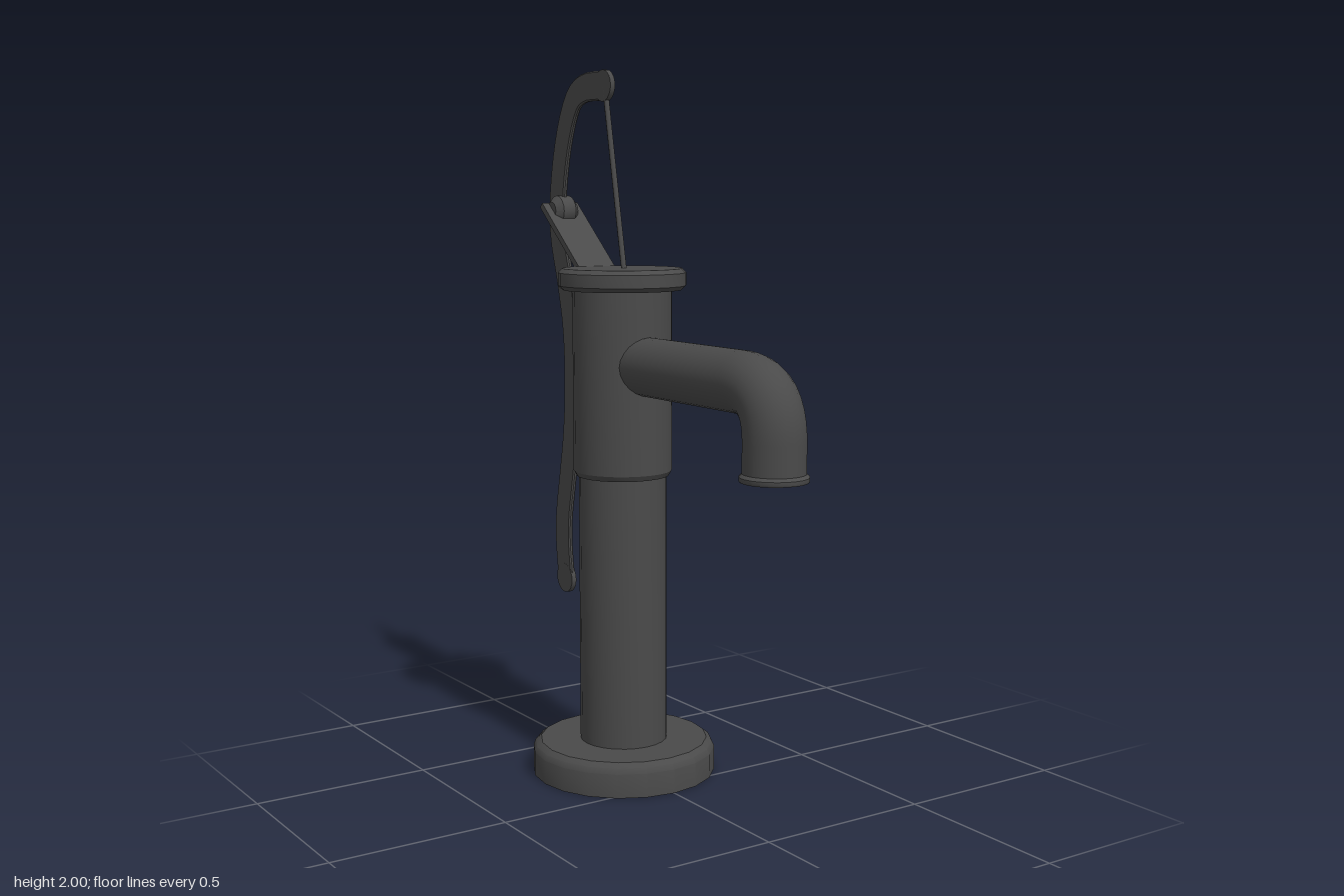
import * as THREE from 'three';
import { toCreasedNormals } from 'three/addons/utils/BufferGeometryUtils.js';

const iron = new THREE.MeshStandardMaterial({ color: 0x4a4a4a });
const V = (y, z) => new THREE.Vector3(0, y, z);

export function createModel() {
  const pump = new THREE.Group();
  pump.name = 'handPump';
  const add = (name, geometry, x = 0, y = 0, z = 0) => {
    const mesh = new THREE.Mesh(geometry, iron);
    mesh.name = name;
    mesh.position.set(x, y, z);
    pump.add(mesh);
    return mesh;
  };
  // turned part from [radius, height] pairs, bottom axis outward and up
  const turned = (profile, sides) => toCreasedNormals(
    new THREE.LatheGeometry(profile.map(p => new THREE.Vector2(...p)), sides), 0.5);
  // round bar between two points
  const bar = (name, a, b, r, sides) => {
    const mesh = add(name, new THREE.CylinderGeometry(r, r, a.distanceTo(b), sides));
    mesh.position.copy(a).lerp(b, 0.5);
    mesh.quaternion.setFromUnitVectors(new THREE.Vector3(0, 1, 0), b.clone().sub(a).normalize());
  };

  // standing column
  const cz = -0.2;
  add('base', turned([[0, 0], [0.263, 0], [0.263, 0.068], [0.256, 0.083], [0.24, 0.095], [0, 0.095]], 20), 0, 0, cz);
  add('lowerPipe', turned([[0, 0.09], [0.125, 0.09], [0.125, 0.88], [0, 0.88]], 24), 0, 0, cz);
  add('upperBarrel', turned([[0, 0.865], [0.131, 0.865], [0.14, 0.88], [0.14, 1.4], [0, 1.4]], 24), 0, 0, cz);
  add('cap', turned([[0, 1.39], [0.168, 1.39], [0.18, 1.402], [0.18, 1.438], [0.168, 1.45], [0, 1.45]], 24), 0, 0, cz);

  // spout: straight run, bend, short drop
  const path = new THREE.CurvePath();
  path.add(new THREE.LineCurve3(V(1.183, -0.11), V(1.183, 0.37)));
  path.add(new THREE.QuadraticBezierCurve3(V(1.183, 0.37), V(1.183, 0.508), V(1.045, 0.508)));
  path.add(new THREE.LineCurve3(V(1.045, 0.508), V(0.955, 0.508)));
  add('spout', new THREE.TubeGeometry(path, 36, 0.082, 24));
  // lip with a recessed mouth
  add('spoutLip', turned([[0, 1], [0.066, 1], [0.066, 0.945], [0.088, 0.945], [0.09, 0.949],
    [0.09, 0.958], [0.082, 0.966]], 24), 0, 0, 0.508);

  // handle: flat wavy strip offset from a centreline of (z, y) points
  const spine = new THREE.SplineCurve([
    [-0.29, 1.955], [-0.4, 1.952], [-0.468, 1.91], [-0.522, 1.79], [-0.552, 1.64], [-0.55, 1.53],
    [-0.513, 1.4], [-0.482, 1.26], [-0.474, 1.1], [-0.484, 0.95], [-0.507, 0.82], [-0.53, 0.7],
    [-0.533, 0.61], [-0.52, 0.505]].map(p => new THREE.Vector2(...p)));
  const steps = 48, near = [], far = [];
  for (let i = 0; i <= steps; i++) {
    const t = i / steps, p = spine.getPoint(t), d = spine.getTangent(t), w = 0.037;
    near.push(new THREE.Vector2(p.x - d.y * w, p.y + d.x * w));
    far.unshift(new THREE.Vector2(p.x + d.y * w, p.y - d.x * w));
  }
  const strip = new THREE.ExtrudeGeometry(new THREE.Shape([...near, ...far]),
    { depth: 0.006, bevelThickness: 0.004, bevelSize: 0.004, bevelSegments: 1 });
  strip.translate(0, 0, -0.003).rotateY(-Math.PI / 2);
  add('handle', strip);
  for (const [y, z] of [[1.955, -0.29], [0.505, -0.52]])
    add('handleEnd', new THREE.CylinderGeometry(0.044, 0.044, 0.015, 20).rotateZ(Math.PI / 2), 0, y, z);

  // sloping bracket and pivot boss
  const bracket = add('bracket', new THREE.BoxGeometry(0.12, 0.018, 0.295), 0, 1.525, -0.437);
  bracket.rotation.x = Math.atan2(0.185, 0.215);
  add('pivot', turned([[0, -0.038], [0.026, -0.038], [0.044, -0.02], [0.044, 0.02], [0.026, 0.038], [0, 0.038]], 16)
    .rotateZ(Math.PI / 2), 0, 1.605, -0.527);

  // pull rod into the cap
  bar('pullRod', V(1.95, -0.287), V(1.44, -0.19), 0.008, 8);
  return pump;
}
